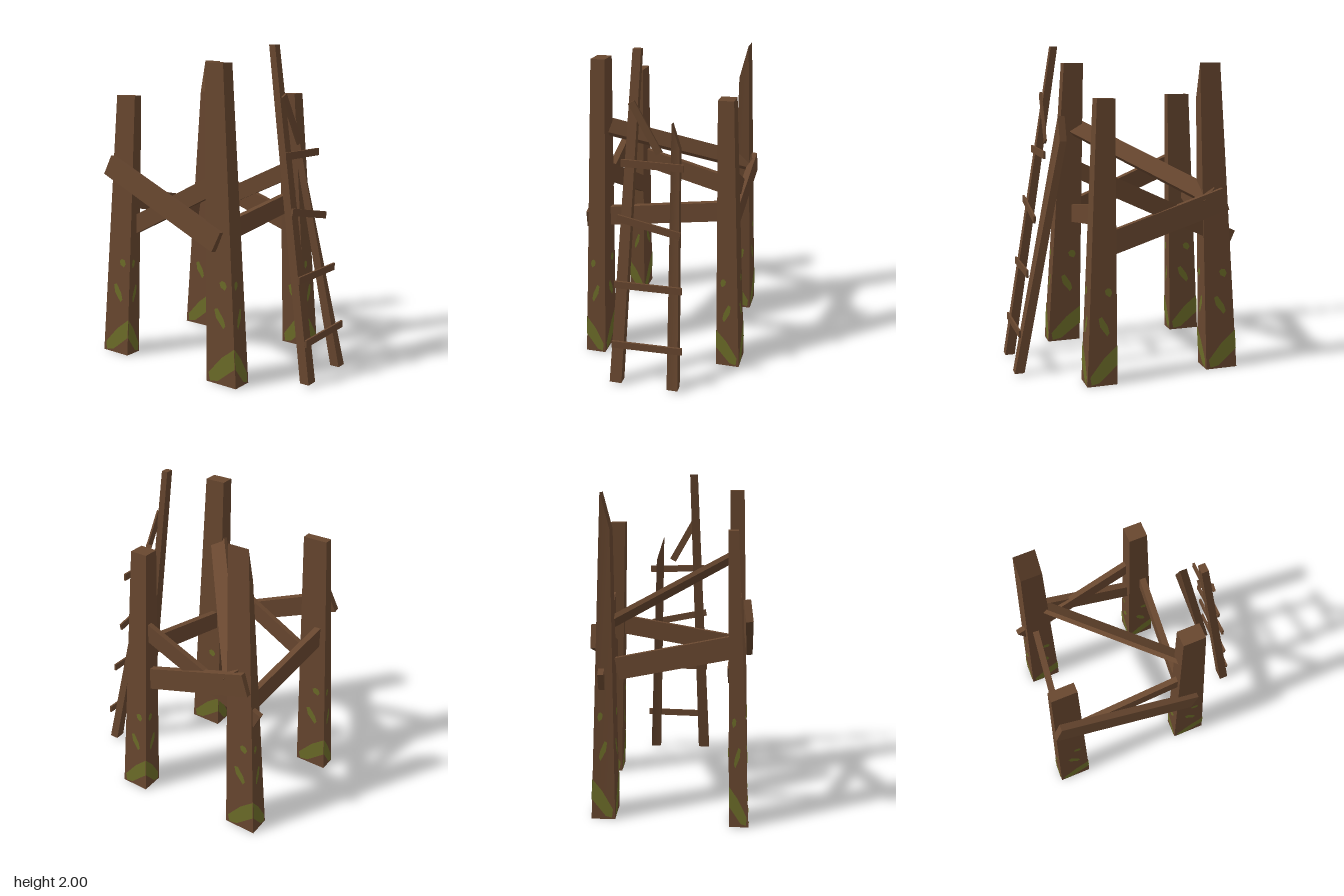
import * as THREE from 'three';

const wood = new THREE.MeshStandardMaterial({ color: 0x68472f });
wood.name = 'weatheredWood';
const moss = new THREE.MeshStandardMaterial({ color: 0x6c6c28, side: THREE.DoubleSide });
moss.name = 'moss';

const lerp = THREE.MathUtils.lerp;
const V = (a) => new THREE.Vector3(...a);

// Corner of a tapered post: b and t are [x0, x1, z0, z1], heights differ per x side
function corner(p, ix, iz, y) {
  const k = (y - p.y) / (p.tops[ix] - p.y);
  return new THREE.Vector3(lerp(p.b[ix], p.t[ix], k), y, lerp(p.b[2 + iz], p.t[2 + iz], k));
}

// Tapered, leaning four-sided post; unequal tops give a splintered point
function post(name, p) {
  const g = new THREE.BoxGeometry(1, 1, 1);
  const a = g.attributes.position;
  for (let i = 0; i < a.count; i++) {
    const ix = a.getX(i) > 0 ? 1 : 0, iz = a.getZ(i) > 0 ? 1 : 0;
    const c = corner(p, ix, iz, a.getY(i) > 0 ? p.tops[ix] : p.y);
    a.setXYZ(i, c.x, c.y, c.z);
  }
  g.computeVertexNormals();
  const m = new THREE.Mesh(g, wood);
  m.name = name;
  return m;
}

// Straight plank between two points; up sets the roll of its tall side
function plank(name, from, to, height, thick, up = [0, 1, 0]) {
  const a = V(from), b = V(to);
  const dir = b.clone().sub(a);
  const len = dir.length();
  dir.normalize();
  const side = new THREE.Vector3().crossVectors(V(up), dir).normalize();
  const top = new THREE.Vector3().crossVectors(dir, side);
  const m = new THREE.Mesh(new THREE.BoxGeometry(thick, height, len), wood);
  m.quaternion.setFromRotationMatrix(new THREE.Matrix4().makeBasis(side, top, dir));
  m.position.copy(a).lerp(b, 0.5);
  m.name = name;
  return m;
}

// Moss outlines on a face: u across the face, y above the ground
const mossShapes = [
  [[0, 0.24], [0, 0.12], [0.6, 0.02], [0.87, 0.01], [0.92, 0.06], [0.45, 0.17]],
  [[0.28, 0.37], [0.36, 0.35], [0.62, 0.41], [0.68, 0.46], [0.56, 0.47], [0.34, 0.41]],
  [[0.18, 0.61], [0.26, 0.585], [0.42, 0.6], [0.46, 0.625], [0.36, 0.64], [0.24, 0.635]],
];

// Post sides, counter-clockwise from above: [left corner, right corner, outward]
const faces = [
  [[0, 1], [1, 1], [0, 0, 1]],
  [[1, 1], [1, 0], [1, 0, 0]],
  [[1, 0], [0, 0], [0, 0, -1]],
  [[0, 0], [0, 1], [-1, 0, 0]],
];

function mossOn(p, shift) {
  const pos = [];
  faces.forEach(([l, r, out], f) => {
    mossShapes.forEach((shape, s) => {
      const pts = shape.map(([u, y0]) => {
        const y = s ? y0 - shift : y0;
        const k = f % 2 ? 1 - u : u;
        return corner(p, l[0], l[1], y).lerp(corner(p, r[0], r[1], y), k).addScaledVector(V(out), 0.003);
      });
      if (f % 2) pts.reverse();
      const mid = pts.reduce((m, q) => m.add(q), new THREE.Vector3()).divideScalar(pts.length);
      pts.forEach((q, i) => {
        const n = pts[(i + 1) % pts.length];
        // wind every triangle towards the outside
        const nor = q.clone().sub(mid).cross(n.clone().sub(mid));
        const tri = nor.dot(V(out)) > 0 ? [mid, q, n] : [mid, n, q];
        tri.forEach((w) => pos.push(w.x, w.y, w.z));
      });
    });
  });
  const g = new THREE.BufferGeometry();
  g.setAttribute('position', new THREE.Float32BufferAttribute(pos, 3));
  g.computeVertexNormals();
  const m = new THREE.Mesh(g, moss);
  m.name = 'mossPatches';
  return m;
}

export function createModel() {
  const model = new THREE.Group();
  model.name = 'watchtowerFrame';

  // Four leaning corner posts with moss near the ground
  const posts = {
    frontRightPost: { y: 0, tops: [1.9, 1.9], b: [-0.492, -0.365, 0.165, 0.385], t: [-0.443, -0.355, 0.128, 0.258] },
    frontLeftPost: { y: 0, tops: [1.695, 1.695], b: [0.365, 0.51, 0.155, 0.34], t: [0.325, 0.42, 0.14, 0.25] },
    backRightPost: { y: 0, tops: [1.69, 1.69], b: [-0.477, -0.366, -0.722, -0.51], t: [-0.4, -0.342, -0.618, -0.465] },
    backLeftPost: { y: 0, tops: [1.69, 1.9], b: [0.305, 0.445, -0.655, -0.45], t: [0.332, 0.386, -0.527, -0.397] },
  };
  for (const [name, p] of Object.entries(posts)) {
    const g = new THREE.Group();
    g.name = name + 'Group';
    g.add(post(name, p), mossOn(p, name.startsWith('frontLeft') ? 0.05 : 0));
    model.add(g);
  }

  // Cross braces
  const braces = new THREE.Group();
  braces.name = 'braces';
  braces.add(
    plank('diagonalBrace', [-0.41, 1.49, 0.2], [0.42, 1.1, -0.46], 0.115, 0.03, [-0.052, 0.085, -0.062]),
    plank('frontBrace', [-0.42, 0.885, 0.19], [0.35, 1.01, 0.24], 0.12, 0.04),
    plank('backBrace', [-0.4, 1.04, -0.605], [0.295, 0.885, -0.53], 0.13, 0.04),
    plank('leftRisingBrace', [0.4, 0.83, 0.2], [0.425, 1.08, -0.56], 0.14, 0.04),
    plank('leftFallingBrace', [0.41, 1.205, 0.2], [0.382, 0.82, -0.62], 0.11, 0.035),
    plank('rightRisingBrace', [-0.487, 0.87, 0.25], [-0.459, 1.25, -0.64], 0.13, 0.042, [0.12, 1, 0]),
    plank('rightFallingBrace', [-0.42, 1.19, 0.17], [-0.365, 0.85, -0.53], 0.11, 0.035),
  );
  model.add(braces);

  // Leaning ladder with one splintered rail and a broken top rung
  const ladder = new THREE.Group();
  ladder.name = 'ladder';
  ladder.add(
    post('rightRail', { y: 0.015, tops: [2, 2], b: [-0.22, -0.145, 0.66, 0.72], t: [-0.136, -0.086, 0.362, 0.403] }),
    post('leftRail', { y: 0.015, tops: [1.58, 1.43], b: [0.14, 0.207, 0.66, 0.72], t: [0.09, 0.138, 0.362, 0.405] }),
  );
  const rungs = [
    [[-0.21, 0.262, 0.687], [0.225, 0.272, 0.687]],
    [[-0.203, 0.635, 0.628], [0.21, 0.64, 0.63]],
    [[-0.195, 1.04, 0.572], [0.185, 0.965, 0.576]],
    [[-0.183, 1.36, 0.512], [0.19, 1.355, 0.512]],
    [[-0.13, 1.71, 0.465], [0.035, 1.42, 0.472]],
  ];
  rungs.forEach(([a, b], i) => ladder.add(plank(i < 4 ? 'rung' + (i + 1) : 'brokenRung', a, b, 0.044, 0.013)));
  model.add(ladder);

  return model;
}
